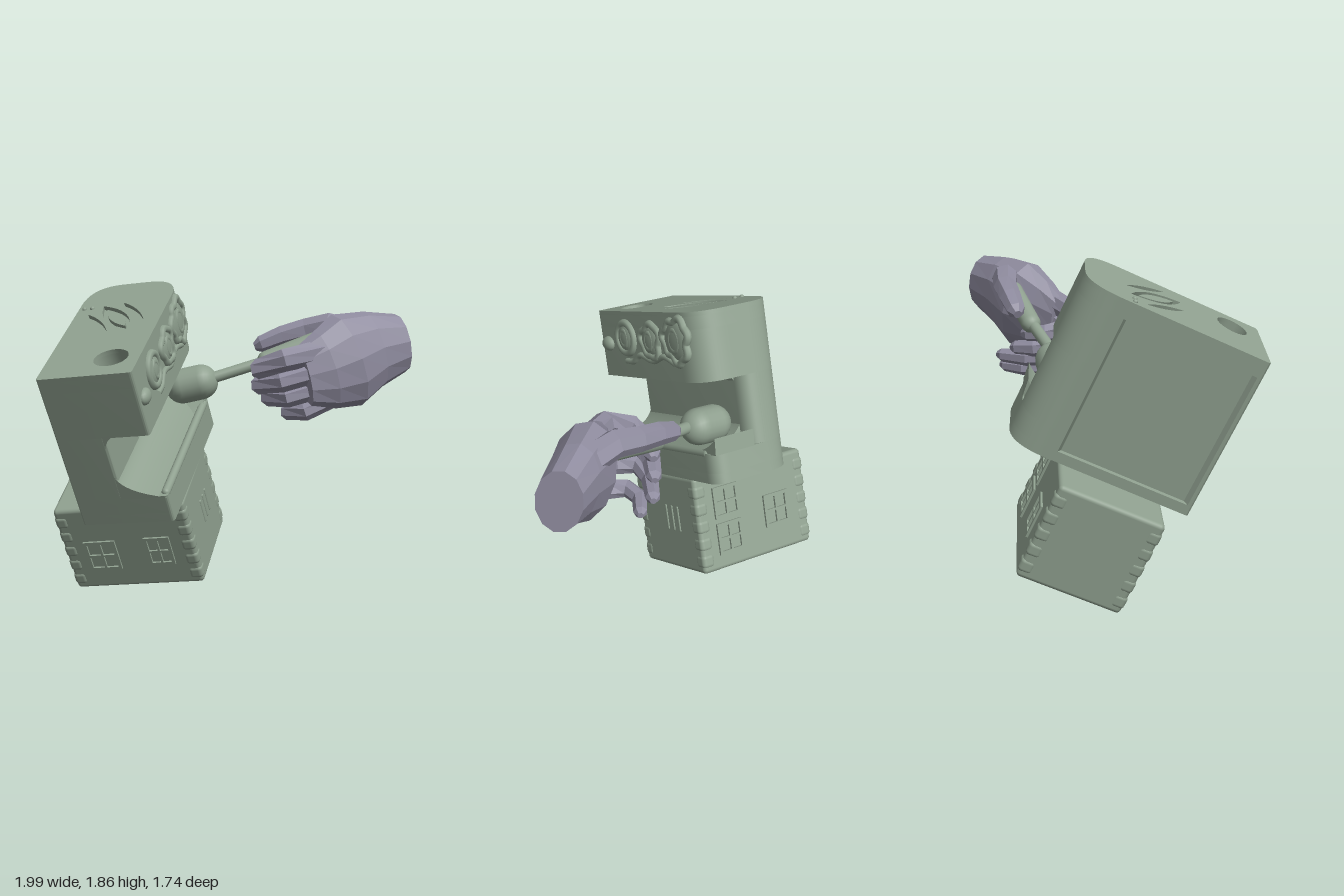
import * as THREE from 'three';
import { toCreasedNormals } from 'three/addons/utils/BufferGeometryUtils.js';
import { RoundedBoxGeometry } from 'three/addons/geometries/RoundedBoxGeometry.js';

const V = (p) => new THREE.Vector3(...p);
const green = new THREE.MeshStandardMaterial({ color: 0x8fa08f });
const violet = new THREE.MeshStandardMaterial({ color: 0x8f8c9f, flatShading: true });

function add(parent, name, geometry, material = green, pos = [0, 0, 0]) {
  const mesh = new THREE.Mesh(geometry, material);
  mesh.name = name;
  mesh.position.set(...pos);
  parent.add(mesh);
  return mesh;
}

// Skin over elliptical rings: each section is [x, y, z, halfWidth, halfHeight]
function loft(sections, sides, roll = 0) {
  const pts = sections.map(([x, y, z]) => V([x, y, z])), n = pts.length;
  const pos = [], index = [];
  pts.forEach((c, j) => {
    const t = pts[Math.min(j + 1, n - 1)].clone().sub(pts[Math.max(j - 1, 0)]).normalize();
    const side = t.clone().cross(new THREE.Vector3(0, 1, 0)).normalize().applyAxisAngle(t, roll);
    const up = side.clone().cross(t);
    for (let i = 0; i < sides; i++) {
      const a = (i / sides) * Math.PI * 2;
      const p = c.clone().addScaledVector(side, Math.cos(a) * sections[j][3]).addScaledVector(up, Math.sin(a) * sections[j][4]);
      pos.push(p.x, p.y, p.z);
    }
  });
  const first = n * sides, last = first + 1;
  for (const c of [pts[0], pts[n - 1]]) pos.push(c.x, c.y, c.z);
  for (let i = 0; i < sides; i++) {
    const k = (i + 1) % sides, e = (n - 1) * sides;
    for (let j = 0; j < n - 1; j++) {
      const a = j * sides + i, b = j * sides + k;
      index.push(a, a + sides, b, b, a + sides, b + sides);
    }
    index.push(first, i, k, last, e + k, e + i);
  }
  const g = new THREE.BufferGeometry();
  g.setAttribute('position', new THREE.Float32BufferAttribute(pos, 3));
  g.setIndex(index);
  g.computeVertexNormals();
  return g;
}

// Cabinet floor plan: x across, y towards the back
function plan(right, r, panel, holes = []) {
  const L = 0.235, F = -0.15, B = 0.92, s = new THREE.Shape();
  s.moveTo(L + 0.01, F); s.lineTo(right - 0.02, F);
  s.quadraticCurveTo(right, F, right, F + 0.02);
  s.lineTo(right, B - r); s.quadraticCurveTo(right, B, right - r, B);
  s.lineTo(L + 0.2, B); s.quadraticCurveTo(L, B, L, B - 0.22);
  if (panel) for (const [x, y] of [[L, 0.66], [L + 0.035, 0.64], [L + 0.035, -0.1], [L, -0.12]]) s.lineTo(x, y);
  s.lineTo(L, F + 0.01);
  s.closePath();
  s.holes.push(...holes);
  return s;
}

function layer(shape, y0, y1) {
  const g = new THREE.ExtrudeGeometry(shape, { depth: y1 - y0, bevelEnabled: false, curveSegments: 14 });
  return toCreasedNormals(g.rotateX(-Math.PI / 2).translate(0, y0, 0), 0.6);
}

// Pointed leaf-shaped slot cut into the cabinet top
function slot(cx, cy, half, wide) {
  const dx = 0.62 * half, dy = -0.78 * half, nx = 0.78 * wide, ny = 0.62 * wide;
  const p = new THREE.Path();
  p.moveTo(cx - dx, cy - dy);
  p.quadraticCurveTo(cx + nx, cy + ny, cx + dx, cy + dy);
  p.quadraticCurveTo(cx - nx, cy - ny, cx - dx, cy - dy);
  return p;
}

// Profile in (x, y) with one curved side, swept forwards from z0
function sweep(points, z0, length) {
  const s = new THREE.Shape();
  s.moveTo(...points[0]);
  s.lineTo(...points[1]);
  s.lineTo(...points[2]);
  s.quadraticCurveTo(...points[3], ...points[0]);
  const g = new THREE.ExtrudeGeometry(s, { depth: length, bevelEnabled: false, curveSegments: 8 });
  return toCreasedNormals(g.translate(0, 0, z0), 0.6);
}

// Raised window: frame and cross bars, facing +z
function windowFrame(parent, name, w, h, pos, turn) {
  const g = new THREE.Group();
  g.name = name;
  const bar = (bw, bh, x, y) => add(g, 'windowBar', new THREE.BoxGeometry(bw, bh, 0.025), green, [x, y, 0]);
  for (const s of [-1, 1]) {
    bar(0.02, h, s * (w / 2 - 0.01), 0);
    bar(w, 0.02, 0, s * (h / 2 - 0.01));
  }
  bar(0.014, h, 0, 0);
  bar(w, 0.014, 0, 0);
  g.position.set(...pos);
  g.rotation.y = turn;
  parent.add(g);
}

// Uneven raised ring with a lumpy middle on the right side panel
function medallion(parent, y, depth, r, lobes) {
  const pts = [];
  for (let i = 0; i < 40; i++) {
    const a = (i / 40) * Math.PI * 2;
    const q = r * (1 + (lobes ? 0.09 * Math.sin(lobes * a) + 0.1 * Math.sin(3 * a + 1) : 0));
    pts.push(new THREE.Vector3(0, Math.sin(a) * q, Math.cos(a) * q));
  }
  const at = [0.79, y, -depth];
  add(parent, 'reliefRing', new THREE.TubeGeometry(new THREE.CatmullRomCurve3(pts, true), 80, 0.024, 8, true), green, at);
  add(parent, 'reliefCentre', new THREE.TorusGeometry(r * 0.5, 0.022, 8, 24).rotateY(Math.PI / 2).scale(1.2, 1, 0.75), green, at);
  add(parent, 'reliefDome', new THREE.SphereGeometry(1, 20, 12).scale(0.025, r * 0.95, r * 0.95), green, at);
}

function rod(from, to, r) {
  const d = V(to).sub(V(from)), g = new THREE.CapsuleGeometry(r, d.length() - 2 * r, 8, 20);
  g.applyQuaternion(new THREE.Quaternion().setFromUnitVectors(new THREE.Vector3(0, 1, 0), d.clone().normalize()));
  return g.translate(...V(from).addScaledVector(d, 0.5).toArray());
}

export function createModel() {
  const model = new THREE.Group();

  // The cabinet and its base lean together
  const machine = new THREE.Group();
  machine.name = 'machine';
  const front = V([0.08, -0.42, 0.9]).normalize();
  const up = front.clone().cross(V([0.99, 0.115, -0.05])).normalize();
  machine.applyMatrix4(new THREE.Matrix4().makeBasis(up.clone().cross(front), up, front).setPosition(-0.86, 0.01, 0.08));
  model.add(machine);

  // Base house, slightly turned, with shallow corner stones and windows
  const house = new THREE.Group();
  house.name = 'house';
  house.rotation.y = 0.025;
  machine.add(house);
  add(house, 'base', new RoundedBoxGeometry(0.81, 0.585, 0.615, 3, 0.025), green, [0.385, 0.2775, -0.3075]);
  for (const x of [0.018, 0.752]) for (const z of [-0.036, -0.579]) for (let i = 0; i < 5; i++) {
    add(house, 'cornerStone', new RoundedBoxGeometry(0.084, 0.085, 0.084, 3, 0.025), green, [x, 0.06 + i * 0.105, z]);
  }
  windowFrame(house, 'frontWindow', 0.2, 0.21, [0.21, 0.23, 0], 0);
  windowFrame(house, 'frontWindow', 0.16, 0.2, [0.57, 0.24, 0], 0);
  windowFrame(house, 'backWindow', 0.18, 0.2, [0.22, 0.25, -0.615], Math.PI);
  windowFrame(house, 'backWindow', 0.18, 0.19, [0.58, 0.17, -0.615], Math.PI);
  windowFrame(house, 'backWindow', 0.18, 0.19, [0.58, 0.39, -0.615], Math.PI);
  for (const z of [-0.29, -0.35, -0.41]) {
    add(house, 'sideSlat', new RoundedBoxGeometry(0.02, 0.16, 0.022, 2, 0.009), green, [0.786, 0.3, z]);
  }

  // Cabinet in layers: tray, narrow neck, wide head with hollows in its top
  const well = () => new THREE.Path().absellipse(0.62, 0.03, 0.1, 0.09, 0, Math.PI * 2, true);
  const slots = [slot(0.51, 0.5, 0.2, 0.12), slot(0.6, 0.56, 0.15, 0.045), slot(0.41, 0.45, 0.15, 0.045)];
  add(machine, 'trayBase', layer(plan(0.79, 0.1, false), 0.57, 0.63));
  add(machine, 'tray', layer(plan(0.79, 0.1, true), 0.63, 0.745));
  add(machine, 'neck', layer(plan(0.525, 0.1, true), 0.745, 1.15));
  add(machine, 'head', layer(plan(0.79, 0.2, true), 1.15, 1.45));
  add(machine, 'headTop', layer(plan(0.79, 0.2, false, [well()]), 1.45, 1.525));
  add(machine, 'headCap', layer(plan(0.79, 0.2, false, [well(), ...slots]), 1.525, 1.55));
  const leaf = new THREE.Shape(slot(0.51, 0.5, 0.14, 0.07).getPoints(10));
  add(machine, 'slotInset', layer(leaf, 1.52, 1.548));
  for (const x of [0.27, 0.32]) add(machine, 'stud', new THREE.SphereGeometry(0.014, 12, 8), green, [x, 1.55, -0.64]);

  // Curved joints of the open side, tray rim and the upturned tray end
  add(machine, 'trayFillet', sweep([[0.51, 0.89], [0.51, 0.735], [0.78, 0.735], [0.54, 0.785]], -0.82, 0.97));
  add(machine, 'headFillet', sweep([[0.58, 1.16], [0.51, 1.16], [0.51, 1.08], [0.53, 1.14]], -0.82, 0.97));
  add(machine, 'trayRim', rod([0.768, 0.74, 0.13], [0.768, 0.74, -0.84], 0.025));
  const end = sweep([[0.66, 0.74], [0.92, 0.74], [0.93, 0.84], [0.86, 0.76]], 0, 0.27);
  add(machine, 'trayEnd', end.rotateY(Math.PI / 2).translate(0.51, 0, 0));

  // Relief on the right side of the head
  add(machine, 'reliefBud', new THREE.SphereGeometry(0.05, 16, 12).scale(0.7, 0.9, 1.2), green, [0.79, 1.35, 0.07]);
  medallion(machine, 1.39, 0.145, 0.09, 0);
  medallion(machine, 1.38, 0.42, 0.095, 5);
  medallion(machine, 1.39, 0.69, 0.12, 7);
  const vine = [[0.79, 1.25, -0.12], [0.79, 1.25, -0.2], [0.79, 1.29, -0.28], [0.79, 1.26, -0.42], [0.79, 1.29, -0.54], [0.79, 1.25, -0.66]];
  add(machine, 'reliefVine', new THREE.TubeGeometry(new THREE.CatmullRomCurve3(vine.map(V)), 50, 0.018, 8));

  // Crank: bulb, rod and thicker grip
  add(model, 'crankBulb', rod([-0.42, 1.2, -0.25], [-0.11, 1.275, -0.31], 0.107));
  add(model, 'crankRod', rod([-0.16, 1.27, -0.29], [0.2, 1.39, -0.45], 0.034));
  add(model, 'crankGrip', rod([0.11, 1.36, -0.42], [0.52, 1.53, -0.58], 0.058));

  // Hand closed around the grip
  const hand = new THREE.Group();
  hand.name = 'hand';
  model.add(hand);
  add(hand, 'palm', loft([
    [0.91, 1.48, -0.77, 0.13, 0.18], [0.77, 1.45, -0.64, 0.15, 0.235], [0.64, 1.39, -0.51, 0.18, 0.29],
    [0.54, 1.34, -0.38, 0.13, 0.24], [0.44, 1.31, -0.28, 0.075, 0.18],
  ], 12, 0.15), violet);
  const fingers = {
    indexFinger: [0.064, [0.55, 1.46, -0.37], [0.34, 1.41, -0.2], [0.18, 1.35, -0.22], [0.15, 1.32, -0.35], [0.19, 1.31, -0.46]],
    middleFinger: [0.06, [0.53, 1.35, -0.34], [0.32, 1.28, -0.22], [0.17, 1.25, -0.27], [0.17, 1.23, -0.42], [0.22, 1.22, -0.53]],
    ringFinger: [0.056, [0.55, 1.25, -0.39], [0.34, 1.18, -0.27], [0.21, 1.17, -0.33], [0.21, 1.16, -0.47], [0.28, 1.16, -0.62]],
    littleFinger: [0.052, [0.59, 1.18, -0.46], [0.43, 1.09, -0.35], [0.31, 1.08, -0.39], [0.29, 1.08, -0.5], [0.35, 1.08, -0.61]],
    thumb: [0.072, [0.68, 1.54, -0.62], [0.5, 1.59, -0.61], [0.36, 1.56, -0.6], [0.22, 1.52, -0.56], [0.1, 1.47, -0.52]],
  };
  const taper = [1.2, 1.08, 0.98, 0.9, 0.75];
  for (const [name, [r, ...joints]] of Object.entries(fingers)) {
    const sections = joints.map((p, i) => [...p, r * taper[i], r * taper[i]]);
    const tip = V(joints[4]).add(V(joints[4]).sub(V(joints[3])).setLength(r * 0.6));
    add(hand, name, loft([...sections, [...tip.toArray(), r * 0.35, r * 0.35]], 7), violet);
  }
  return model;
}
